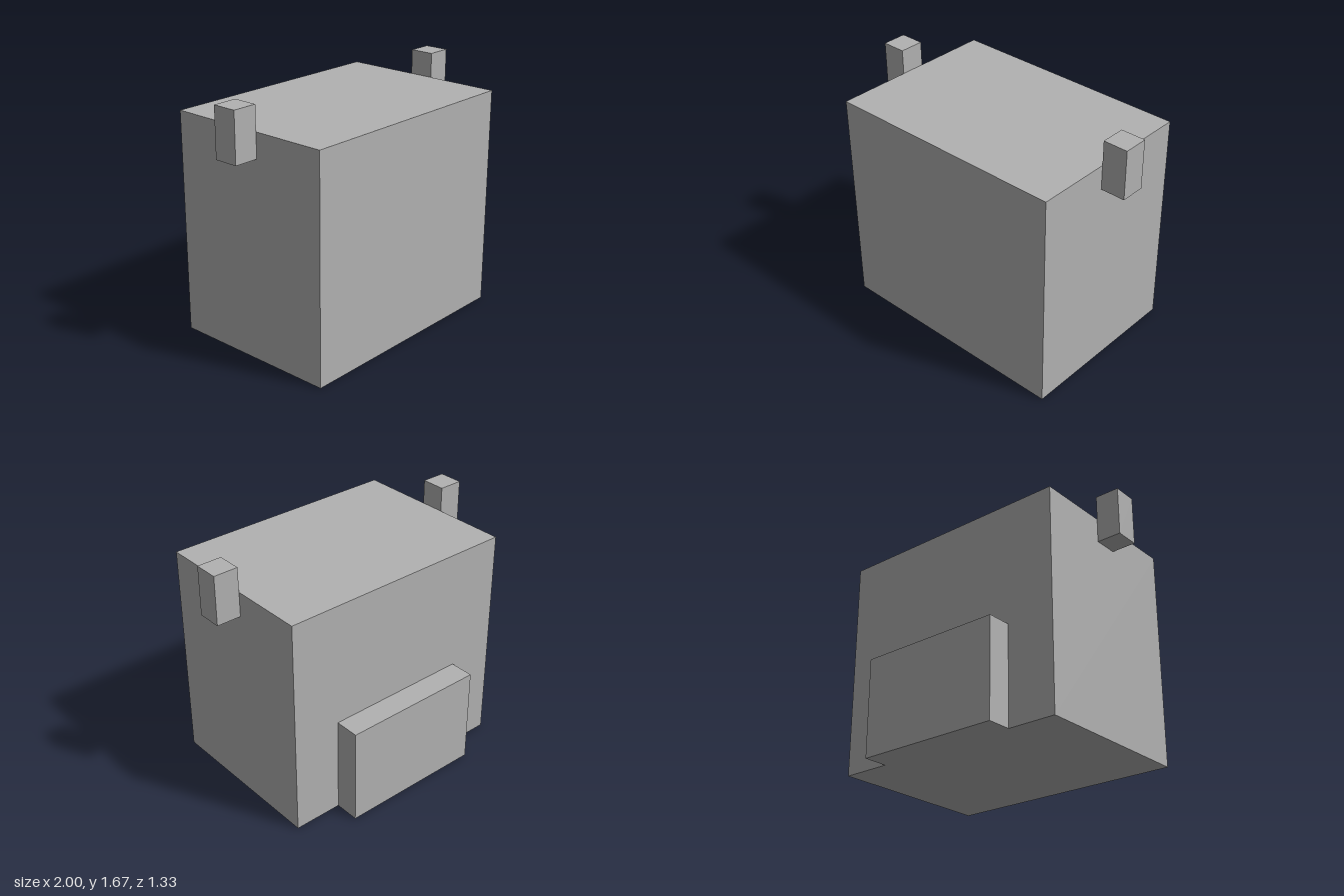
import * as THREE from 'three';

// One block unit; every part is a whole or half number of units
const U = 1 / 6;

export function createModel() {
  const model = new THREE.Group();
  model.name = 'model';
  const grey = new THREE.MeshStandardMaterial({ color: 0xb2b2b2 });
  grey.name = 'light grey';

  // Box given by its lower and upper corners, in units
  const addBox = (name, min, max) => {
    const size = max.map((v, i) => (v - min[i]) * U);
    const mesh = new THREE.Mesh(new THREE.BoxGeometry(...size), grey);
    mesh.position.set(...max.map((v, i) => (v + min[i]) * U / 2));
    mesh.name = name;
    model.add(mesh);
  };

  // Main block
  addBox('body', [-5, 0, -3], [5, 9, 4]);

  // Low panel on the back
  addBox('backPanel', [-3, 0, -4], [3, 4, -3]);

  // Small upright posts on the upper sides
  addBox('leftPost', [5, 8, 0], [6, 10, 1]);
  addBox('rightPost', [-6, 8, 0], [-5, 10, 1]);

  return model;
}
